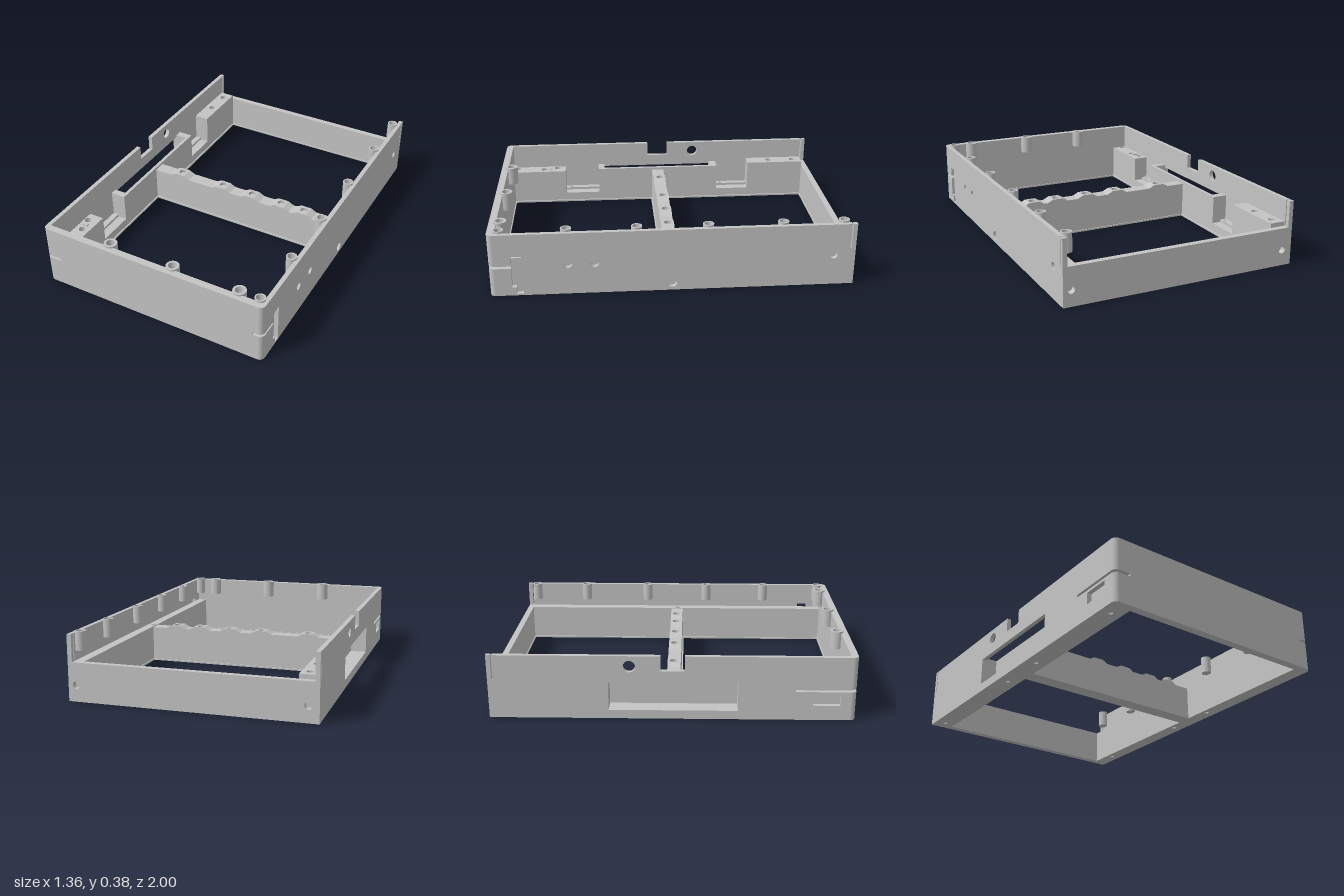
import * as THREE from 'three';

export function createModel() {
  const model = new THREE.Group();
  model.name = 'enclosureFrame';
  const grey = new THREE.MeshStandardMaterial({ color: 0xc4c4c4 });
  grey.name = 'lightGrey';

  const add = (name, geometry) => {
    const mesh = new THREE.Mesh(geometry, grey);
    mesh.name = name;
    model.add(mesh);
  };
  const box = (name, x0, x1, y0, y1, z0, z1) =>
    add(name, new THREE.BoxGeometry(x1 - x0, y1 - y0, z1 - z0)
      .translate((x0 + x1) / 2, (y0 + y1) / 2, (z0 + z1) / 2));
  const poly = (pts) => new THREE.Shape(pts.map(([a, b]) => new THREE.Vector2(a, b)));
  const rect = (a0, a1, b0, b1) => poly([[a0, b0], [a1, b0], [a1, b1], [a0, b1]]);
  const circle = (a, b, r) => new THREE.Path().absarc(a, b, r, 0, Math.PI * 2, true);
  const disc = (a, b, r) => new THREE.Shape().absarc(a, b, r, 0, Math.PI * 2, false);
  const extrude = (shape, depth) =>
    new THREE.ExtrudeGeometry(shape, { depth, bevelEnabled: false, curveSegments: 20 });
  // Plan shapes use (x, -z) and rise from y0 to y1
  const plan = (name, shape, y0, y1) =>
    add(name, extrude(shape, y1 - y0).rotateX(-Math.PI / 2).translate(0, y0, 0));
  // Side shapes use (z, y) and span x0 to x1
  const side = (name, shape, x0, x1) =>
    add(name, extrude(shape, x1 - x0).rotateY(-Math.PI / 2).translate(x1, 0, 0));
  const ring = (name, x, z, r, hole, y0, y1) => {
    const s = disc(x, -z, r);
    s.holes.push(circle(x, -z, hole));
    plan(name, s, y0, y1);
  };
  // Boss with a blind hole open at the top
  const boss = (name, x, z, r, hole) => {
    plan(name + 'Bottom', disc(x, -z, r), 0.27, 0.29);
    ring(name, x, z, r, hole, 0.29, 0.375);
  };

  const W = 0.68, IN = 0.655, TOP = 0.365, LEDGE = 0.215, FRONT = 0.96;

  // Plan outline with rounded front corners, reaching back to the given z
  const roundedFront = (backZ) => {
    const s = new THREE.Shape();
    s.moveTo(W, -backZ);
    s.lineTo(-W, -backZ);
    s.lineTo(-W, -0.97);
    s.absarc(-W + 0.03, -0.97, 0.03, Math.PI, Math.PI * 1.5, false);
    s.absarc(W - 0.03, -0.97, 0.03, Math.PI * 1.5, Math.PI * 2, false);
    return s;
  };

  // Base plate with two openings and blind screw holes underneath
  const base = roundedFront(-1);
  base.holes.push(rect(-0.557, 0.594, -0.955, -0.052), rect(-0.557, 0.594, 0.036, 0.96));
  for (const z of [-0.82, -0.13, 0.19]) base.holes.push(circle(0.625, -z, 0.013));
  for (const z of [-0.93, -0.13, 0.18, 0.88]) base.holes.push(circle(-0.62, -z, 0.013));
  plan('basePlate', base, 0, 0.01);

  // Left outer wall with groove, vertical slot, rear slit and screw holes
  const left = poly([[-1, 0.01], [0.82, 0.01], [0.82, 0.235], [0.88, 0.235], [0.88, 0.18],
    [FRONT, 0.18], [FRONT, TOP], [-0.97, TOP], [-0.97, 0.22], [-0.976, 0.22], [-0.976, TOP], [-1, TOP]]);
  for (const z of [0.575, 0.43, -0.88]) left.holes.push(circle(z, 0.18, 0.022));
  left.holes.push(circle(0.01, 0.045, 0.027));
  side('leftWall', left, IN, W);
  side('leftWallCorner', poly([[0.855, 0.01], [FRONT, 0.01], [FRONT, 0.165], [0.88, 0.165],
    [0.88, 0.05], [0.855, 0.05]]), IN, W);

  // Right outer wall with top notch, window, port, round hole and groove
  const right = poly([[-1, 0.01], [FRONT, 0.01], [FRONT, 0.165], [0.67, 0.165], [0.67, 0.18],
    [FRONT, 0.18], [FRONT, TOP], [0.07, TOP], [0.07, 0.28], [-0.06, 0.28], [-0.06, TOP],
    [-0.97, TOP], [-0.97, 0.22], [-0.976, 0.22], [-0.976, TOP], [-1, TOP]]);
  right.holes.push(rect(-0.345, 0.36, 0.05, 0.21), rect(0.765, 0.915, 0.085, 0.15),
    circle(-0.23, 0.305, 0.033));
  side('rightWall', right, -W, -IN);

  // Front wall with rounded corners, split by a groove at each end
  plan('frontWallLower', roundedFront(FRONT), 0.01, 0.165);
  plan('frontWallUpper', roundedFront(FRONT), 0.18, TOP);
  box('frontWallMiddle', -0.585, 0.62, 0.165, 0.18, FRONT, 1);
  box('frontGrooveBacking', -IN, IN, 0.165, 0.18, FRONT, 0.98);

  // Lower back wall with two screw holes
  const back = rect(-IN, IN, 0.01, LEDGE);
  back.holes.push(circle(-0.622, 0.09, 0.02), circle(0.635, 0.09, 0.02));
  add('backWall', extrude(back, 0.035).translate(0, 0, -1));

  // Left ledge and cross bar
  box('leftLedge', 0.6, IN, 0.01, LEDGE, -0.965, FRONT);
  box('crossBar', -0.565, 0.6, 0.01, 0.21, -0.03, 0.045);
  // Raised screw pads with a shallow ramp on each side
  for (const x of [-0.39, -0.1, 0.1, 0.295, 0.445]) {
    const pad = rect(x - 0.03, x + 0.03, -0.045, 0.03);
    pad.holes.push(circle(x, -0.005, 0.022));
    plan('crossBarPad', pad, 0.21, 0.228);
    for (const s of [-1, 1]) {
      const ramp = poly([[x + s * 0.03, 0.21], [x + s * 0.065, 0.21], [x + s * 0.03, 0.228]]);
      add('crossBarRamp', extrude(ramp, 0.075).translate(0, 0, -0.03));
    }
  }
  ring('crossBarEndScrew', 0.615, 0.005, 0.017, 0.008, LEDGE, 0.22);

  // Right rail: solid blocks at the ends, low runs between
  const block = (name, z0, z1, top, holes) => {
    const s = rect(-IN, -0.565, -z1, -z0);
    for (const [x, z] of holes) s.holes.push(circle(x, -z, 0.02));
    box(name + 'Core', -IN, -0.565, 0.01, top - 0.06, z0, z1);
    plan(name, s, top - 0.06, top);
  };
  block('rearBlock', -0.965, -0.6, 0.24, [[-0.61, -0.91], [-0.61, -0.75]]);
  block('frontBlock', 0.62, FRONT, LEDGE, [[-0.63, 0.675], [-0.61, 0.76], [-0.63, 0.935]]);
  box('blockClip', -0.635, -0.6, LEDGE, 0.222, 0.71, 0.728);
  for (const [z0, z1, zs] of [[-0.6, -0.39, -0.42], [0.4, 0.62, 0.585]]) {
    box('lowRail', -IN, -0.565, 0.01, 0.06, z0, z1);
    box('lowRailStep', -IN, -0.62, 0.06, 0.075, z0, z1);
    ring('lowRailScrew', -0.63, zs, 0.01, 0.005, 0.075, 0.08);
  }

  // Pocket behind the window
  box('pocketFloor', -IN, -0.565, 0.01, 0.05, -0.39, 0.4);
  box('pocketInnerWall', -0.585, -0.565, 0.05, 0.225, -0.39, 0.4);
  box('pocketRearEnd', -IN, -0.585, 0.05, 0.225, -0.39, -0.345);
  box('pocketFrontEnd', -IN, -0.585, 0.05, 0.225, 0.36, 0.4);

  // Screw bosses along the left and front walls
  for (const z of [-0.935, -0.6, -0.19, 0.2, 0.58, 0.94]) boss('leftBoss', 0.632, z, 0.03, 0.022);
  for (const x of [-0.27, 0.12, 0.515]) boss('frontBoss', x, 0.94, 0.037, 0.024);

  return model;
}
